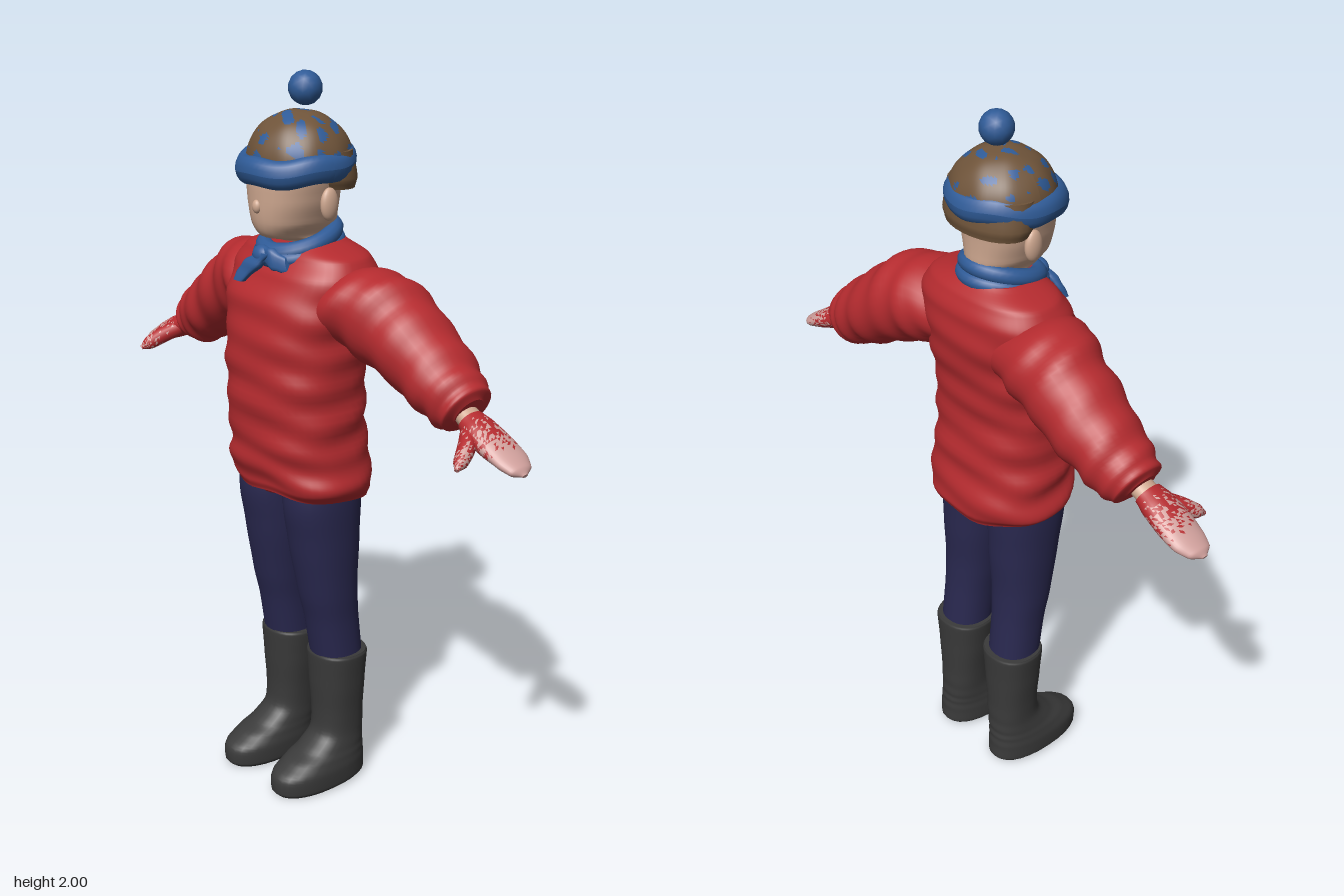
import * as THREE from 'three';

const V3 = (x, y, z) => new THREE.Vector3(x, y, z);
const X = V3(1, 0, 0), Z = V3(0, 0, 1);

// Smooth closed loft. Sections are [x, y, z, radiusU, radiusV]; power squares off the outline.
function loft(sections, { u = X, v = Z, sides = 28, rows = 24, power = 2, warp } = {}) {
  const path = new THREE.CatmullRomCurve3(sections.map(s => V3(s[0], s[1], s[2])), false, 'centripetal');
  const size = new THREE.CatmullRomCurve3(sections.map(s => V3(s[3], s[4], 0)), false, 'catmullrom', 0.3);
  const pos = [], idx = [];
  const bend = t => Math.sign(t) * Math.abs(t) ** (2 / power);
  for (let i = 0; i <= rows; i++) {
    const t = i / rows, c = path.getPoint(t), r = size.getPoint(t);
    for (let j = 0; j < sides; j++) {
      const a = j / sides * Math.PI * 2, k = warp ? 1 + warp(t, a, c) : 1;
      const p = c.clone().addScaledVector(u, bend(Math.cos(a)) * r.x * k).addScaledVector(v, bend(Math.sin(a)) * r.y * k);
      pos.push(p.x, p.y, p.z);
    }
  }
  const dir = path.getPoint(1).sub(path.getPoint(0));
  const flip = u.clone().cross(v).dot(dir) < 0;
  const tri = (a, b, c) => flip ? idx.push(a, c, b) : idx.push(a, b, c);
  for (let i = 0; i < rows; i++) for (let j = 0; j < sides; j++) {
    const a = i * sides + j, b = i * sides + (j + 1) % sides;
    tri(a, b, b + sides); tri(a, b + sides, a + sides);
  }
  // Flat end caps with their own vertices
  for (const row of [0, rows]) {
    const base = pos.length / 3, c = path.getPoint(row / rows);
    pos.push(...pos.slice(row * sides * 3, (row + 1) * sides * 3), c.x, c.y, c.z);
    for (let j = 0; j < sides; j++) {
      const a = base + j, b = base + (j + 1) % sides;
      row ? tri(a, b, base + sides) : tri(b, a, base + sides);
    }
  }
  const g = new THREE.BufferGeometry();
  g.setAttribute('position', new THREE.Float32BufferAttribute(pos, 3));
  g.setIndex(idx);
  g.computeVertexNormals();
  return g;
}

// Sort faces into two material groups by a rule on the face centre
function twoTone(g, rule) {
  const p = g.attributes.position, ix = g.index.array, first = [], second = [];
  for (let i = 0; i < ix.length; i += 3) {
    const c = V3(0, 0, 0);
    for (let k = 0; k < 3; k++) c.add(V3(0, 0, 0).fromBufferAttribute(p, ix[i + k]));
    (rule(c.divideScalar(3), i) ? second : first).push(ix[i], ix[i + 1], ix[i + 2]);
  }
  g.setIndex([...first, ...second]);
  g.clearGroups();
  g.addGroup(0, first.length, 0);
  g.addGroup(first.length, second.length, 1);
  return g;
}

const hash = n => { const h = Math.sin(n * 12.9898) * 43758.5453; return h - Math.floor(h); };

export function createModel() {
  const group = new THREE.Group();
  const mat = (name, color) => Object.assign(new THREE.MeshStandardMaterial({ color }), { name });
  const red = mat('red knit', 0xb52b2f), navy = mat('navy cloth', 0x29284f), black = mat('black rubber', 0x3a3a3a);
  const skin = mat('skin', 0xcfa890), blue = mat('blue wool', 0x2f5b97), brown = mat('brown hair', 0x6f543a);
  const pale = mat('pale mitten', 0xd0a09c);
  const add = (name, geometry, material) => {
    const m = new THREE.Mesh(geometry, material);
    m.name = name;
    group.add(m);
    return m;
  };
  const ball = (name, m, x, y, z, rx, ry, rz) =>
    add(name, new THREE.SphereGeometry(1, 24, 16).scale(rx, ry, rz).translate(x, y, z), m);

  // Sweater body with soft horizontal folds and a hem that dips at the back
  const body = loft([
    [0, 0.885, -0.005, 0.195, 0.145], [0, 0.91, -0.005, 0.212, 0.16], [0, 0.96, 0, 0.207, 0.162],
    [0, 1.05, 0.01, 0.198, 0.16], [0, 1.2, 0.018, 0.198, 0.16], [0, 1.32, 0.01, 0.203, 0.165],
    [0, 1.42, -0.003, 0.215, 0.165], [0, 1.49, -0.018, 0.225, 0.145], [0, 1.54, -0.025, 0.2, 0.118],
    [0, 1.575, -0.02, 0.11, 0.09],
  ], {
    sides: 48, rows: 70, power: 2.4,
    warp: (t, a, c) => (1 - t * t) * (0.024 * Math.sin(c.y * 68 + 1.6 * Math.sin(a * 2 + 1)) + 0.016 * Math.sin(c.y * 41 + a * 3)),
  });
  const bp = body.attributes.position;
  for (let i = 0; i < bp.count; i++) {
    const k = Math.max(0, 1 - (bp.getY(i) - 0.88) / 0.15);
    bp.setY(i, bp.getY(i) + k * (bp.getZ(i) * 0.1 + 0.006 * Math.sin(bp.getX(i) * 30)));
  }
  body.computeVertexNormals();
  add('sweaterBody', body, red);
  ball('sweaterHemDip', red, 0, 0.9, 0, 0.05, 0.037, 0.13);

  for (const s of [1, -1]) {
    const side = s > 0 ? 'left' : 'right';
    const m = list => list.map(([x, ...r]) => [x * s, ...r]);
    const normal = V3(0.5 * s, 0.866, 0);

    // Sleeve with gathered folds
    add(side + 'Sleeve', loft(m([
      [0.1, 1.42, -0.03, 0.1, 0.115], [0.18, 1.425, -0.035, 0.118, 0.13], [0.25, 1.41, -0.05, 0.122, 0.128],
      [0.33, 1.37, -0.063, 0.115, 0.118], [0.42, 1.315, -0.07, 0.1, 0.112], [0.49, 1.27, -0.07, 0.09, 0.1],
      [0.535, 1.24, -0.07, 0.083, 0.087], [0.565, 1.225, -0.068, 0.072, 0.074], [0.575, 1.22, -0.066, 0.045, 0.045],
    ]), {
      u: normal, sides: 32, rows: 56,
      warp: (t, a) => 0.035 * Math.sin(t * 44 + 1.8 * Math.sin(a + 1)) * Math.min(1, t * 3) + 0.02 * Math.sin(t * 27 + a * 2),
    }), red);

    // Wrist and speckled mitten with thumb
    add(side + 'Wrist', loft(m([[0.54, 1.235, -0.06, 0.028, 0.034], [0.62, 1.195, -0.057, 0.026, 0.034]]),
      { u: normal, sides: 16, rows: 2 }), skin);
    const speckle = (c, i) => hash(i + 7) < (Math.abs(c.x) - 0.61) * 8 + (c.y < 1.15 ? 0.1 : 0);
    add(side + 'Mitten', twoTone(loft(m([
      [0.592, 1.208, -0.056, 0.03, 0.04], [0.63, 1.19, -0.055, 0.034, 0.05], [0.68, 1.167, -0.056, 0.03, 0.055],
      [0.73, 1.144, -0.058, 0.022, 0.052], [0.765, 1.128, -0.055, 0.016, 0.037], [0.783, 1.12, -0.053, 0.005, 0.008],
    ]), { u: V3(0.42 * s, 0.907, 0), sides: 32, rows: 32 }), speckle), [red, pale]);
    add(side + 'Thumb', twoTone(loft(m([
      [0.615, 1.188, -0.03, 0.024, 0.024], [0.645, 1.165, 0.01, 0.023, 0.024],
      [0.663, 1.143, 0.045, 0.019, 0.02], [0.672, 1.13, 0.068, 0.006, 0.006],
    ]), { u: V3(0.9 * s, 0, -0.43), v: V3(0.25 * s, 0.85, 0.46), sides: 18, rows: 16 }), speckle), [red, pale]);

    // Trouser leg
    add(side + 'Leg', loft(m([
      [0.098, 0.94, 0, 0.088, 0.11], [0.097, 0.86, 0.003, 0.091, 0.113], [0.096, 0.75, -0.004, 0.088, 0.102],
      [0.1, 0.6, -0.015, 0.078, 0.085], [0.102, 0.5, -0.03, 0.071, 0.076], [0.104, 0.37, -0.048, 0.07, 0.072],
    ]), { power: 2.2 }), navy);

    // Rubber boot: shaft widening into a rounded foot
    add(side + 'Boot', loft(m([
      [0.11, 0, 0.025, 0.07, 0.145], [0.11, 0.012, 0.025, 0.079, 0.155], [0.11, 0.055, 0.024, 0.08, 0.153],
      [0.109, 0.085, 0.003, 0.075, 0.13], [0.107, 0.11, -0.023, 0.07, 0.102], [0.105, 0.15, -0.047, 0.066, 0.077],
      [0.104, 0.21, -0.051, 0.068, 0.073], [0.103, 0.31, -0.05, 0.077, 0.077], [0.103, 0.392, -0.05, 0.084, 0.081],
      [0.103, 0.402, -0.05, 0.081, 0.078],
    ]), { rows: 48, power: 2.3 }), black);

    // Ear
    ball(side + 'Ear', skin, 0.117 * s, 1.678, 0, 0.016, 0.043, 0.027);
  }

  // Neck and head
  add('head', loft([
    [0, 1.5, -0.02, 0.07, 0.075], [0, 1.575, -0.018, 0.068, 0.08], [0, 1.592, 0.012, 0.066, 0.11],
    [0, 1.63, 0.02, 0.09, 0.121], [0, 1.69, 0.022, 0.108, 0.123], [0, 1.75, 0.018, 0.118, 0.125],
    [0, 1.82, 0.01, 0.11, 0.11],
  ], { rows: 36, power: 2.2 }), skin);
  ball('nose', skin, 0, 1.672, 0.143, 0.014, 0.018, 0.012);

  // Hair showing below the hat at the sides and back
  add('hair', loft([
    [0, 1.712, -0.05, 0.132, 0.078], [0, 1.74, -0.045, 0.142, 0.088], [0, 1.81, -0.03, 0.138, 0.09],
  ], { rows: 8 }), brown);

  // Hat crown mottled in brown and blue, with a slightly lumpy surface
  const crown = new THREE.SphereGeometry(1, 72, 30, 0, Math.PI * 2, 0, Math.PI / 2);
  const cp = crown.attributes.position;
  for (let i = 0; i < cp.count; i++) {
    const x = cp.getX(i), y = cp.getY(i), z = cp.getZ(i);
    const k = 1 + 0.012 * Math.sin(9 * x + 2) * Math.sin(8 * z);
    cp.setXYZ(i, x * 0.142 * k, 1.775 + y * 0.132 * k, 0.003 + z * 0.138 * k);
  }
  crown.computeVertexNormals();
  const mottled = c => Math.sin(105 * c.x + 2 * Math.sin(60 * c.z)) + Math.sin(115 * c.z + 50 * c.y + 1)
    + Math.sin(120 * c.y + 40 * c.x) + (c.z > 0 ? 0.25 : 0) > 1.25;
  add('hatCrown', twoTone(crown, mottled), [brown, blue]);

  // Rolled hat band, lower at the front, and pompom
  const band = new THREE.TorusGeometry(0.127, 0.029, 16, 56).scale(1, 1.02, 1.3).rotateX(Math.PI / 2);
  const tp = band.attributes.position;
  for (let i = 0; i < tp.count; i++)
    tp.setY(i, tp.getY(i) + 0.004 * Math.sin(5 * Math.atan2(tp.getZ(i), tp.getX(i))));
  band.computeVertexNormals();
  add('hatBand', band.rotateX(0.1).translate(0, 1.772, 0.015), blue);
  add('pompom', new THREE.IcosahedronGeometry(0.045, 2).translate(-0.002, 1.958, -0.018), blue);

  // Scarf: two wraps, a knot and two short ends
  for (const [y, R, tilt] of [[1.552, 0.092, 0.2], [1.577, 0.087, 0.3]])
    add('scarfWrap', new THREE.TorusGeometry(R, 0.024, 12, 40).scale(1.02, 1.1, 1)
      .rotateX(Math.PI / 2 + tilt).translate(0, y, 0.003), blue);
  ball('scarfKnot', blue, -0.012, 1.54, 0.115, 0.034, 0.027, 0.025);
  const flat = { sides: 16, rows: 12, power: 3, warp: (t, a) => 0.08 * Math.sin(t * 14 + a) };
  add('scarfLongEnd', loft([
    [0.005, 1.55, 0.12, 0.025, 0.014], [-0.035, 1.515, 0.132, 0.035, 0.016], [-0.07, 1.468, 0.15, 0.02, 0.01],
  ], flat), blue);
  add('scarfShortEnd', loft([
    [-0.01, 1.545, 0.115, 0.022, 0.014], [0.035, 1.535, 0.115, 0.03, 0.014], [0.075, 1.525, 0.1, 0.02, 0.01],
  ], { ...flat, u: V3(-0.3, 0.95, 0) }), blue);

  return group;
}
